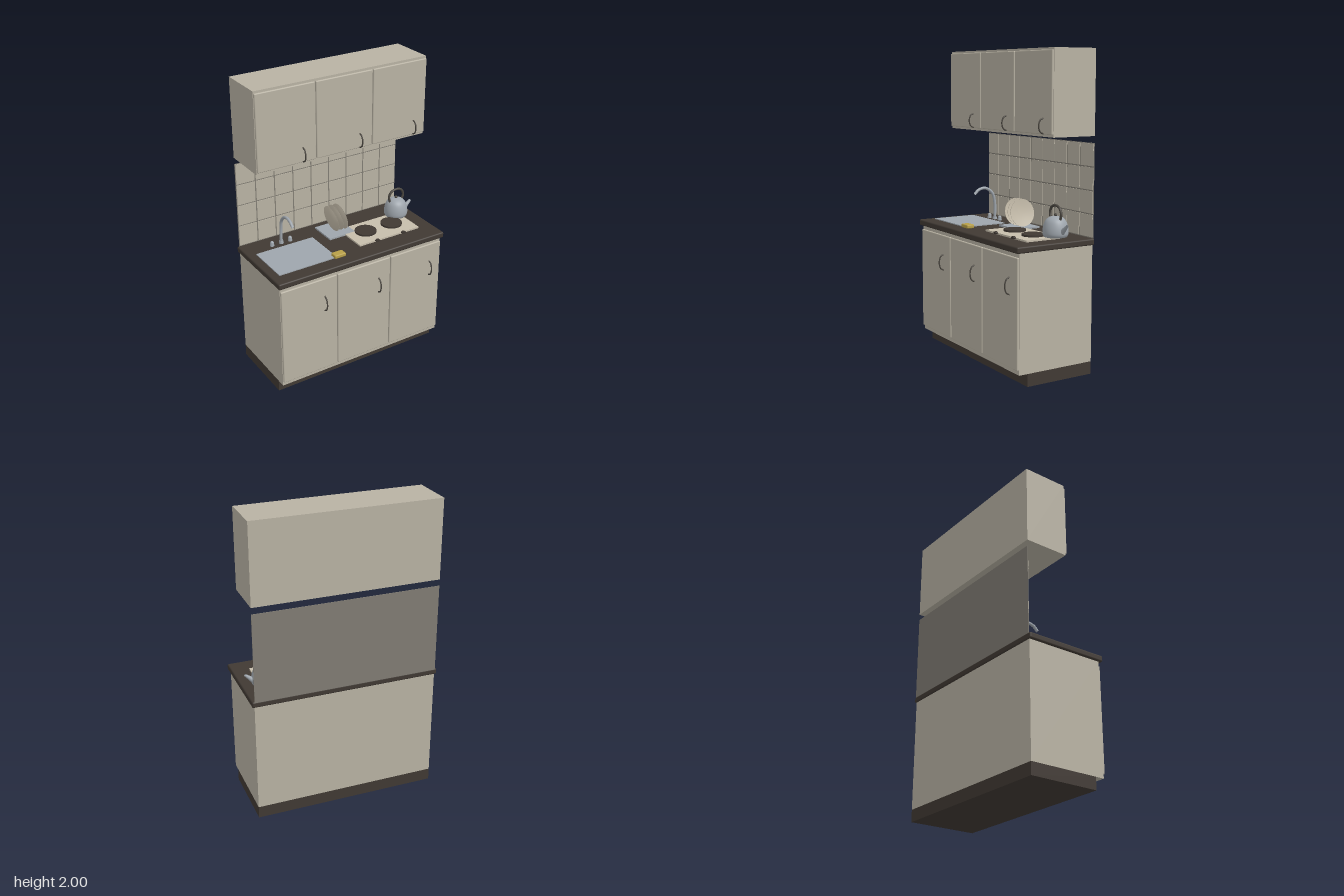
import * as THREE from 'three';
import { RoundedBoxGeometry } from 'three/addons/geometries/RoundedBoxGeometry.js';

const mat = (name, color, side = THREE.FrontSide) => {
  const m = new THREE.MeshStandardMaterial({ color, side });
  m.name = name;
  return m;
};

export function createModel() {
  const root = new THREE.Group();
  root.name = 'kitchenUnit';
  const beige = mat('beige', 0xb8b2a3);
  const grout = mat('grout', 0x807c73);
  const dark = mat('darkBrown', 0x403933);
  const metal = mat('darkMetal', 0x4a4640);
  const steel = mat('steel', 0x9ea5ac, THREE.DoubleSide);
  const cream = mat('cream', 0xc6bdab);
  const yellow = mat('yellow', 0xb8a048);

  const add = (name, geo, material, x = 0, y = 0, z = 0, parent = root) => {
    const m = new THREE.Mesh(geo, material);
    m.name = name;
    m.position.set(x, y, z);
    parent.add(m);
    return m;
  };
  // Box from its minimum and maximum corners, optionally with rounded edges
  const box = (name, material, x0, x1, y0, y1, z0, z1, r = 0) => {
    const s = [x1 - x0, y1 - y0, z1 - z0];
    const geo = r ? new RoundedBoxGeometry(...s, 3, r) : new THREE.BoxGeometry(...s);
    return add(name, geo, material, (x0 + x1) / 2, (y0 + y1) / 2, (z0 + z1) / 2);
  };
  const tube = (name, material, points, radius, segments = 24, parent = root) =>
    add(name, new THREE.TubeGeometry(
      new THREE.CatmullRomCurve3(points.map(p => new THREE.Vector3(...p))), segments, radius, 10), material, 0, 0, 0, parent);

  // Cabinet bodies, plinth and worktop
  box('plinth', dark, -0.61, 0.61, 0, 0.08, -0.285, 0.185);
  box('baseCabinet', beige, -0.61, 0.61, 0.08, 0.815, -0.285, 0.245);
  box('wallCabinet', beige, -0.61, 0.61, 1.478, 2, -0.292, 0.01);
  box('worktop', dark, -0.625, 0.625, 0.815, 0.855, -0.292, 0.27, 0.01);

  // Doors with bow handles
  const bowHandle = (x, y0, y1, z) => {
    const h = y1 - y0;
    tube('doorHandle', metal, [
      [x, y0 + 0.004, z - 0.002], [x, y0 + h * 0.15, z + 0.02], [x, y0 + h * 0.5, z + 0.031],
      [x, y1 - h * 0.15, z + 0.02], [x, y1 - 0.004, z - 0.002]], 0.0045);
  };
  for (let i = 0; i < 3; i++) {
    const x0 = -0.608 + i * 0.4075, x1 = x0 + 0.401;
    box('baseDoor', beige, x0, x1, 0.108, 0.788, 0.243, 0.259, 0.006);
    box('wallDoor', beige, x0, x1, 1.493, 1.987, 0.008, 0.024, 0.006);
    const hx = -0.298 + i * 0.409;
    bowHandle(hx, 0.55, 0.665, 0.259);
    bowHandle(hx, 1.493, 1.593, 0.024);
  }

  // Tiled splashback
  box('splashbackGrout', grout, -0.61, 0.61, 0.85, 1.436, -0.292, -0.288);
  const cols = 9, rows = 4, w = 1.22 / cols, h = 0.145;
  for (let c = 0; c < cols; c++) {
    for (let r = 0; r < rows; r++) {
      const x = -0.61 + c * w, y = 0.856 + r * h;
      box('tile', beige, x + 0.004, x + w - 0.004, y + 0.004, y + h - 0.004, -0.289, -0.284);
    }
  }

  // Sink, tap and taps' knobs
  box('sink', steel, -0.57, -0.155, 0.85, 0.861, -0.13, 0.175);
  tube('tap', steel, [
    [-0.36, 0.855, -0.18], [-0.36, 0.97, -0.18], [-0.36, 1.035, -0.162],
    [-0.36, 1.074, -0.11], [-0.36, 1.068, -0.055], [-0.36, 1.04, -0.022]], 0.01, 32);
  add('tapBase', new THREE.CylinderGeometry(0.014, 0.016, 0.016, 20), steel, -0.36, 0.863, -0.18);
  for (const x of [-0.428, -0.295]) {
    add('tapKnob', new THREE.CylinderGeometry(0.012, 0.015, 0.022, 20), steel, x, 0.866, -0.18);
    add('tapKnobTop', new THREE.SphereGeometry(0.012, 16, 8, 0, Math.PI * 2, 0, Math.PI / 2), steel, x, 0.876, -0.18);
  }

  // Sponge
  box('sponge', yellow, -0.176, -0.095, 0.855, 0.88, 0.136, 0.19, 0.007);

  // Drying tray and leaning plates
  box('dishTray', steel, -0.075, 0.12, 0.853, 0.866, -0.23, -0.04);
  const plateProfile = [[0, 0], [0.05, 0], [0.09, 0.013], [0.09, 0.017], [0.05, 0.005], [0, 0.005]]
    .map(p => new THREE.Vector2(...p));
  for (let i = 0; i < 3; i++) {
    const plate = add('plate', new THREE.LatheGeometry(plateProfile, 40), cream, -0.02 + i * 0.034, 0.953, -0.132);
    plate.rotation.z = -Math.PI / 2 + 0.19;
  }

  // Hob with hotplates and control knobs
  box('hob', cream, 0.045, 0.515, 0.853, 0.866, -0.12, 0.135);
  for (const x of [0.178, 0.385]) {
    add('hotplate', new THREE.CylinderGeometry(0.072, 0.072, 0.012, 40), dark, x, 0.872, 0);
    const knob = add('hobKnob', new THREE.CylinderGeometry(0.015, 0.015, 0.016, 20), dark, x, 0.866, 0.143);
    knob.rotation.x = Math.PI / 2;
    knob.scale.z = 0.6;
  }

  // Kettle
  const kettle = new THREE.Group();
  kettle.name = 'kettle';
  kettle.position.set(0.488, 0.866, -0.095);
  root.add(kettle);
  const body = new THREE.SplineCurve([[0.07, 0], [0.08, 0.02], [0.077, 0.06], [0.062, 0.1], [0.035, 0.122], [0, 0.128]]
    .map(p => new THREE.Vector2(...p))).getPoints(24);
  body[body.length - 1].x = 0;
  add('kettleBody', new THREE.LatheGeometry([new THREE.Vector2(0, 0), ...body], 36), steel, 0, 0, 0, kettle);
  add('lidKnob', new THREE.SphereGeometry(0.01, 16, 10), metal, 0, 0.134, 0, kettle);
  tube('kettleHandle', metal, [
    [-0.048, 0.105, 0], [-0.058, 0.145, 0], [-0.04, 0.18, 0], [0, 0.192, 0],
    [0.04, 0.18, 0], [0.058, 0.145, 0], [0.048, 0.105, 0]], 0.008, 36, kettle);
  const spout = add('kettleSpout', new THREE.CylinderGeometry(0.008, 0.018, 0.07, 20, 1, true), steel, 0.094, 0.057, 0, kettle);
  spout.rotation.z = -0.85;

  return root;
}
